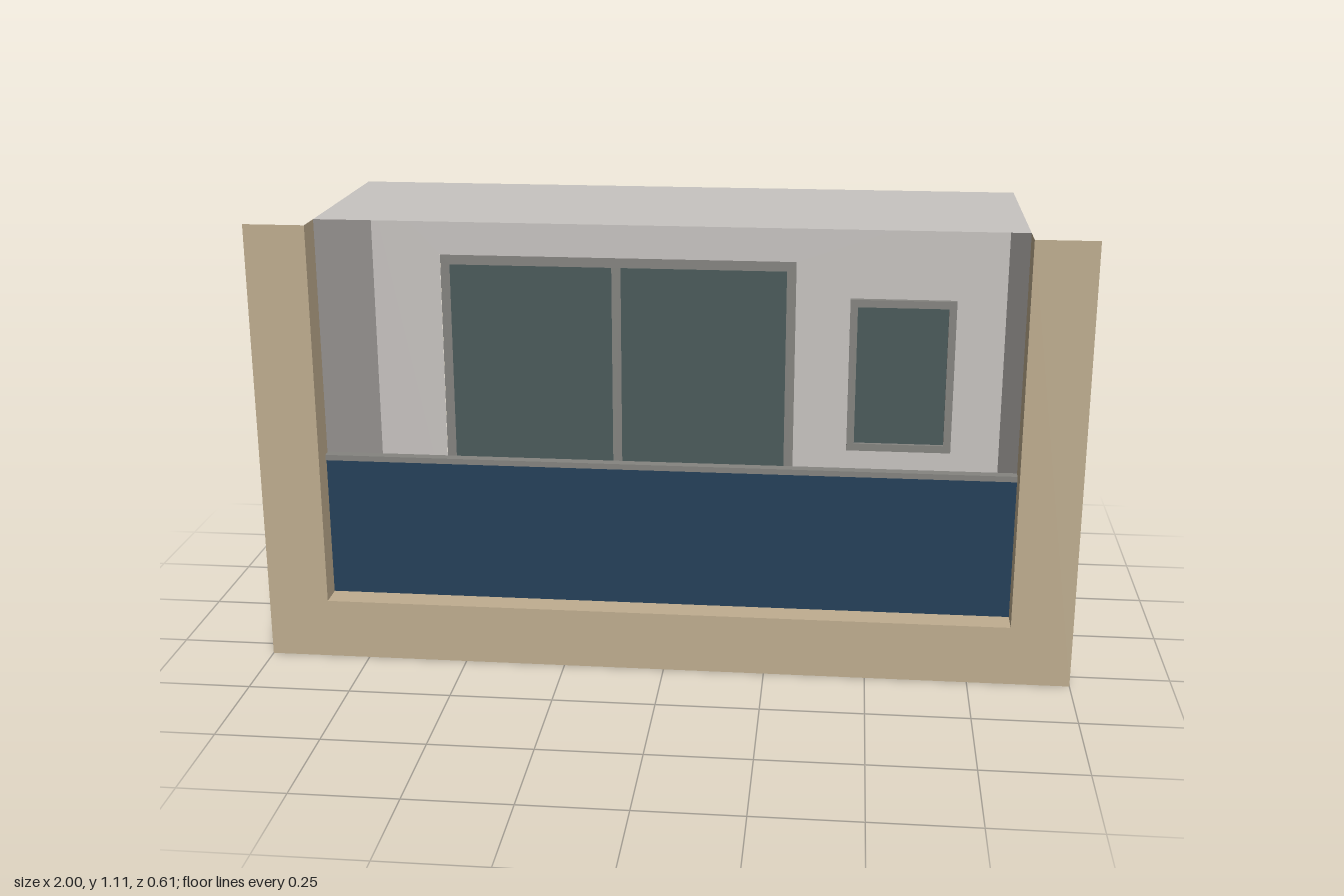
import * as THREE from 'three';

const FRONT = 0.305, LIP = 0.23, BACK = -0.285, GLASS = -0.305;
const W = 0.85, FLOOR = 0.15, TOP = 1.11;

function material(name, color) {
  const m = new THREE.MeshStandardMaterial({ color, side: THREE.DoubleSide });
  m.name = name;
  return m;
}

// Closed outline from corner pairs
function outline(points, Type = THREE.Shape) {
  return new Type(points.map(([x, y]) => new THREE.Vector2(x, y)));
}
const rect = (x0, x1, y0, y1) => [[x0, y0], [x1, y0], [x1, y1], [x0, y1]];

function shapeWithHoles(points, holes = []) {
  const s = outline(points);
  s.holes = holes.map((h) => outline(h, THREE.Path));
  return s;
}

export function createModel() {
  const model = new THREE.Group();
  model.name = 'balcony';

  const plaster = material('plaster grey', 0xc8c4c1);
  const stone = material('sandstone', 0xc0ae90);
  const metal = material('frame grey', 0x858480);
  const glass = material('window glass', 0x4a5a5a);
  const blue = material('panel blue', 0x24405a);

  const add = (name, geometry, mat, parent = model) => {
    const mesh = new THREE.Mesh(geometry, mat);
    mesh.name = name;
    parent.add(mesh);
    return mesh;
  };
  // Flat sheet facing +z
  const sheet = (name, shape, z, mat, parent) => {
    add(name, new THREE.ShapeGeometry(shape), mat, parent).position.z = z;
  };
  // Horizontal sheet at height y
  const slab = (name, halfWidth, y, z0, z1, mat, parent) => {
    const g = new THREE.PlaneGeometry(2 * halfWidth, z1 - z0).rotateX(-Math.PI / 2);
    add(name, g, mat, parent).position.set(0, y, (z0 + z1) / 2);
  };
  // Upright sheet facing sideways
  const side = (name, x, z0, z1, mat, parent) => {
    const g = new THREE.PlaneGeometry(z1 - z0, TOP - FLOOR).rotateY(Math.sign(x) * Math.PI / 2);
    add(name, g, mat, parent).position.set(x, (TOP + FLOOR) / 2, (z0 + z1) / 2);
  };
  const box = (name, x0, x1, y0, y1, z0, z1, mat, parent) => {
    const g = new THREE.BoxGeometry(x1 - x0, y1 - y0, z1 - z0);
    add(name, g, mat, parent).position.set((x0 + x1) / 2, (y0 + y1) / 2, (z0 + z1) / 2);
  };

  // Recess: back wall with a door opening, side walls, ceiling and floor
  const recess = new THREE.Group();
  recess.name = 'recess';
  model.add(recess);
  const door = { x0: -0.665, x1: 0.295, top: 0.915 };
  sheet('backWall', outline([
    [-W, FLOOR], [door.x0, FLOOR], [door.x0, door.top], [door.x1, door.top],
    [door.x1, FLOOR], [W, FLOOR], [W, TOP], [-W, TOP],
  ]), BACK, plaster, recess);
  for (const s of [-1, 1]) side('sideWall', s * W, BACK, LIP, plaster, recess);
  slab('ceiling', W, TOP, BACK, LIP, plaster, recess);
  slab('floor', W, FLOOR, BACK, LIP, metal, recess);

  // Facade surround: U-shaped face with folded returns
  const surround = new THREE.Group();
  surround.name = 'surround';
  model.add(surround);
  sheet('surroundFace', outline([
    [-1, 0], [1, 0], [1, TOP], [W, TOP], [W, FLOOR], [-W, FLOOR], [-W, TOP], [-1, TOP],
  ]), FRONT, stone, surround);
  for (const s of [-1, 1]) side('sideReturn', s * W, LIP, FRONT, stone, surround);
  for (const y of [0, FLOOR]) slab('bottomReturn', 1, y, LIP, FRONT, stone, surround);

  // Sliding door: glass sheet set behind a two-pane frame
  const slidingDoor = new THREE.Group();
  slidingDoor.name = 'slidingDoor';
  model.add(slidingDoor);
  sheet('doorGlass', outline(rect(door.x0, door.x1, FLOOR, door.top)), GLASS, glass, slidingDoor);
  sheet('doorFrame', shapeWithHoles(rect(door.x0, door.x1, FLOOR, door.top), [
    rect(-0.64, -0.2, FLOOR + 0.025, 0.888),
    rect(-0.175, 0.27, FLOOR + 0.025, 0.888),
  ]), GLASS + 0.018, metal, slidingDoor);

  // Small window mounted on the back wall
  const smallWindow = new THREE.Group();
  smallWindow.name = 'smallWindow';
  model.add(smallWindow);
  const frame = new THREE.ExtrudeGeometry(
    shapeWithHoles(rect(0.44, 0.72, 0.4, 0.82), [rect(0.46, 0.7, 0.42, 0.8)]),
    { depth: 0.015, bevelEnabled: false });
  add('windowFrame', frame, metal, smallWindow).position.z = BACK + 0.001;
  sheet('windowGlass', outline(rect(0.46, 0.7, 0.42, 0.8)), BACK + 0.006, glass, smallWindow);

  // Balustrade: solid panel under a handrail
  box('balustradePanel', -W, W, FLOOR + 0.001, 0.506, 0.232, 0.242, blue);
  box('handrail', -W, W, 0.506, 0.52, 0.224, 0.25, metal);

  return model;
}
